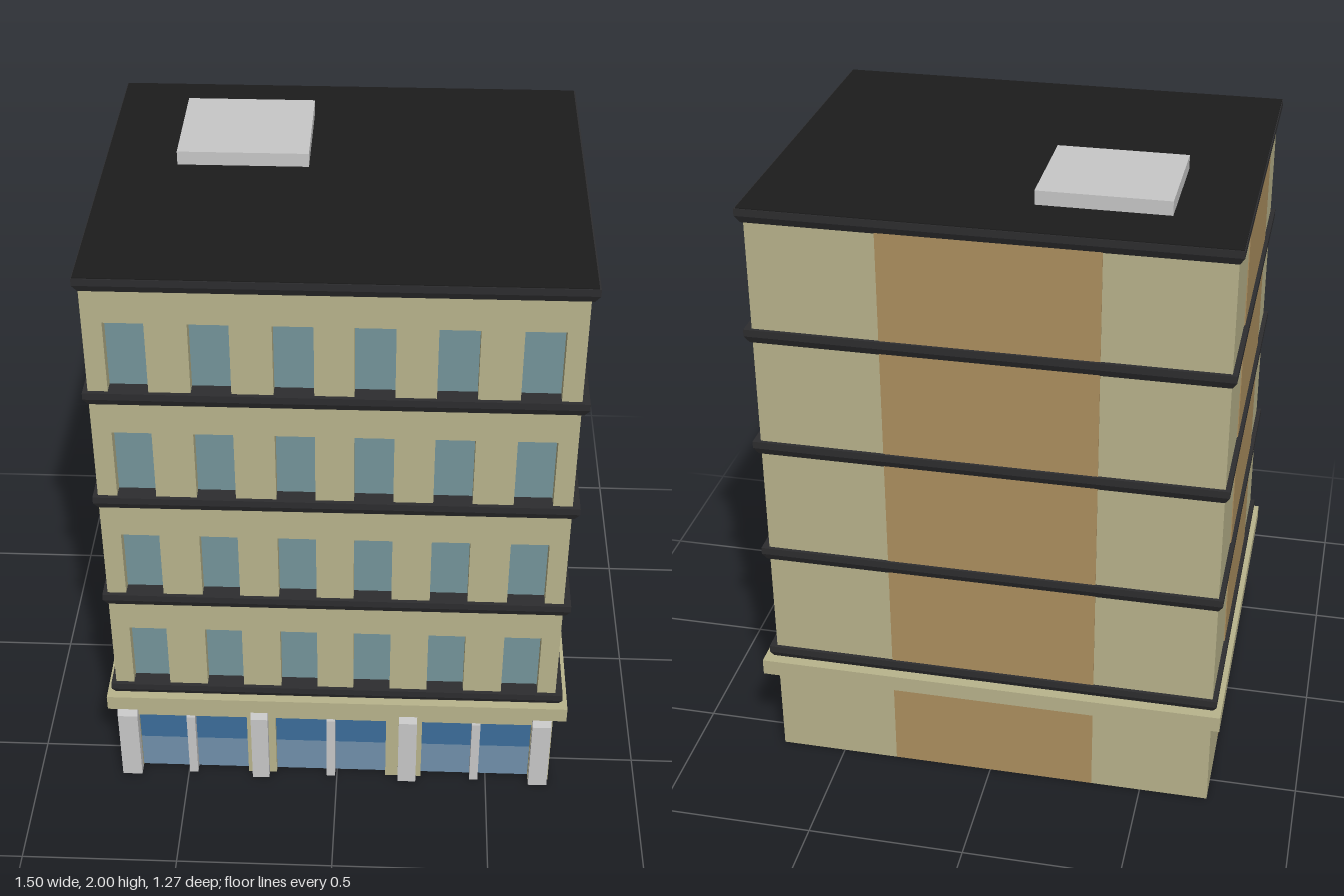
import * as THREE from 'three';

const mat = (name, color) => {
  const m = new THREE.MeshStandardMaterial({ color });
  m.name = name;
  return m;
};

export function createModel() {
  const khaki = mat('khaki render', 0xb9b48c);
  const tan = mat('tan panel', 0xad9060);
  const dark = mat('dark trim', 0x2d2d2f);
  const black = mat('roof felt', 0x1c1c1c);
  const grey = mat('pale grey', 0xc8c8c8);
  const glass = mat('window glass', 0x74959a);
  const shopLight = mat('shop glass', 0x7190ab);
  const shopBlue = mat('shop blue', 0x3c6d9b);

  const building = new THREE.Group();
  building.name = 'building';

  const add = (name, geometry, material) => {
    const mesh = new THREE.Mesh(geometry, material);
    mesh.name = name;
    building.add(mesh);
    return mesh;
  };
  // Box given by its limits on each axis
  const block = (name, material, x0, x1, y0, y1, z0, z1) => {
    const g = new THREE.BoxGeometry(x1 - x0, y1 - y0, z1 - z0);
    g.translate((x0 + x1) / 2, (y0 + y1) / 2, (z0 + z1) / 2);
    return add(name, g, material);
  };

  const L = -0.72, R = 0.71, B = -0.595, F = 0.6; // wall faces
  const reveal = 0.045;

  // Upper storeys: solid core and a front wall pierced by windows
  block('upperCore', khaki, L, R, 0.36, 1.93, B, F - reveal);
  const front = new THREE.Shape();
  front.moveTo(L, 0.36).lineTo(R, 0.36).lineTo(R, 1.93).lineTo(L, 1.93).closePath();
  const windowX = [-0.602, -0.361, -0.121, 0.113, 0.351, 0.592];
  const sills = [0.4, 0.785, 1.175, 1.56];
  const half = 0.059, tall = 0.242;
  for (const y of sills) {
    for (const x of windowX) {
      const hole = new THREE.Path();
      hole.moveTo(x - half, y).lineTo(x - half, y + tall)
        .lineTo(x + half, y + tall).lineTo(x + half, y).closePath();
      front.holes.push(hole);
      block('windowPane', glass, x - half, x + half, y, y + tall, F - reveal, F - reveal + 0.005);
    }
  }
  const frontWall = new THREE.ExtrudeGeometry(front, { depth: reveal, bevelEnabled: false });
  frontWall.translate(0, 0, F - reveal);
  add('upperFrontWall', frontWall, khaki);

  // Tan panels on the sides and back of the upper storeys
  const t = 0.003;
  block('rearPanel', tan, -0.34, 0.32, 0.36, 1.93, B - t, B);
  block('leftPanel', tan, R, R + t, 0.36, 1.93, -0.28, 0.365);
  block('rightPanel', tan, L - t, L, 0.36, 1.93, -0.28, 0.365);

  // Dark cornices with an undercut lower half
  const cornice = (y0, y1) => {
    const g = new THREE.BoxGeometry(1.468, y1 - y0, 1.22, 1, 2, 1);
    const p = g.attributes.position;
    for (let i = 0; i < p.count; i++) {
      if (p.getY(i) < -0.01) {
        p.setX(i, p.getX(i) - Math.sign(p.getX(i)) * 0.014);
        p.setZ(i, p.getZ(i) - Math.sign(p.getZ(i)) * 0.01);
      }
    }
    g.translate(-0.001, (y0 + y1) / 2, 0.003);
    const flat = g.toNonIndexed();
    flat.computeVertexNormals();
    add('cornice', flat, dark);
  };
  for (const top of [0.405, 0.79, 1.18, 1.565, 1.953]) cornice(top - 0.045, top);

  // Roof and its hatch
  block('roof', black, -0.732, 0.728, 1.95, 1.956, -0.604, 0.61);
  block('roofHatch', grey, -0.51, -0.108, 1.95, 2, -0.412, -0.052);

  // Ledge over the shop floor, also its ceiling
  block('ledge', khaki, -0.75, 0.75, 0.312, 0.365, -0.635, 0.635);

  // Hollow shop floor: thin walls with a tan middle section
  const w = 0.008;
  for (const [z0, z1, m] of [[B, -0.28, khaki], [-0.28, 0.385, tan], [0.385, F, khaki]]) {
    block('shopLeftWall', m, R - w, R, 0, 0.312, z0, z1);
    block('shopRightWall', m, L, L + w, 0, 0.312, z0, z1);
  }
  for (const [x0, x1, m] of [[L + w, -0.34, khaki], [-0.34, 0.32, tan], [0.32, R - w, khaki]]) {
    block('shopRearWall', m, x0, x1, 0, 0.312, B, B + w);
  }

  // Shop front: lintel, piers and glazing
  const zi = 0.57;
  const bays = [[-0.657, -0.298, -0.483], [-0.203, 0.163, -0.02], [0.282, 0.642, 0.46]];
  block('shopLintel', khaki, L + w, R - w, 0.255, 0.312, zi, F);
  const edges = [L + w, ...bays.flatMap(([a, b]) => [a, b]), R - w];
  for (let i = 0; i < edges.length; i += 2) {
    block('shopPier', khaki, edges[i], edges[i + 1], 0, 0.255, zi, F);
  }
  for (const [x0, x1, mid] of bays) {
    block('shopGlassLower', shopLight, x0, x1, 0, 0.132, zi, zi + 0.008);
    block('shopGlassUpper', shopBlue, x0, x1, 0.132, 0.255, zi, zi + 0.008);
    block('mullion', grey, mid - 0.014, mid + 0.014, 0, 0.257, zi, 0.61);
  }

  // Columns with sloping heads
  const profile = new THREE.Shape();
  profile.moveTo(-0.59, 0).lineTo(-0.59, 0.312).lineTo(-0.605, 0.312)
    .lineTo(-0.626, 0.27).lineTo(-0.626, 0).closePath();
  for (const [x0, x1] of [[-0.722, -0.657], [-0.283, -0.227], [0.205, 0.265], [0.643, 0.705]]) {
    const g = new THREE.ExtrudeGeometry(profile, { depth: x1 - x0, bevelEnabled: false });
    g.rotateY(Math.PI / 2);
    g.translate(x0, 0, 0);
    // Profile x runs to -z after the turn, so -0.6 lands at the front
    add('column', g, grey);
  }

  return building;
}
